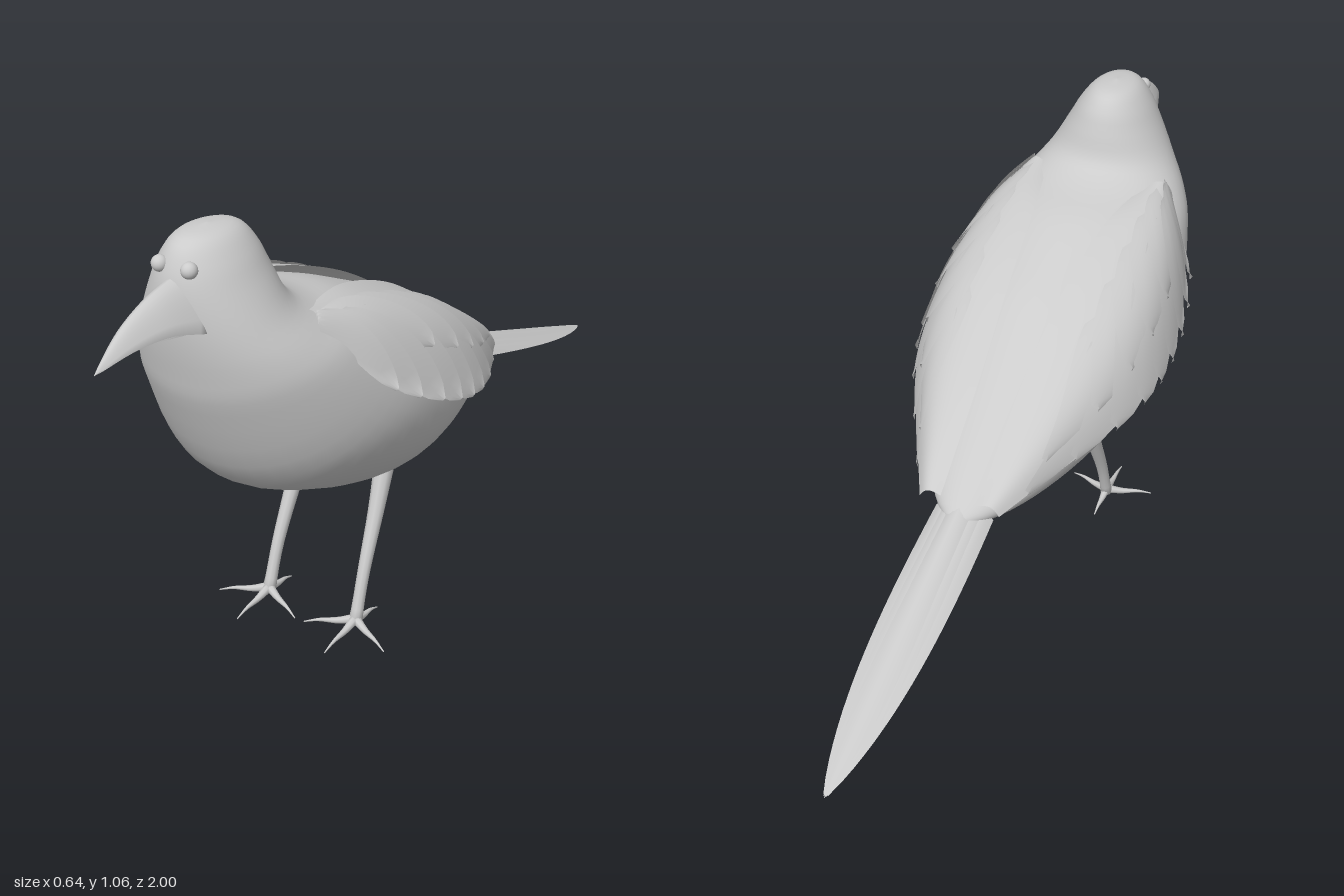
import * as THREE from 'three';
import { mergeVertices } from 'three/addons/utils/BufferGeometryUtils.js';

const V3 = (x, y, z) => new THREE.Vector3(x, y, z);
const curve = (pts) => new THREE.CatmullRomCurve3(pts.map((p) => V3(...p)), false, 'catmullrom', 0.5);
const solid = new THREE.MeshStandardMaterial({ color: 0xcccccc });
const thin = new THREE.MeshStandardMaterial({ color: 0xcccccc, side: THREE.DoubleSide });

// Smooth surface from a rule f(u, v) -> Vector3, welded where points meet
function sheet(f, nu, nv) {
  const pos = [], idx = [];
  for (let i = 0; i <= nu; i++) {
    for (let j = 0; j <= nv; j++) pos.push(...f(i / nu, j / nv).toArray());
  }
  for (let i = 0; i < nu; i++) {
    for (let j = 0; j < nv; j++) {
      const a = i * (nv + 1) + j, b = a + nv + 1;
      idx.push(a, b, a + 1, b, b + 1, a + 1);
    }
  }
  const g = new THREE.BufferGeometry();
  g.setAttribute('position', new THREE.Float32BufferAttribute(pos, 3));
  g.setIndex(idx);
  const welded = mergeVertices(g, 1e-5);
  welded.computeVertexNormals();
  return welded;
}

function add(parent, name, geometry, material = solid) {
  const mesh = new THREE.Mesh(geometry, material);
  mesh.name = name;
  parent.add(mesh);
  return mesh;
}

// Round limb along a curve with a radius rule, closed at both ends
function limb(pts, radius, n = 12, sides = 10) {
  const c = curve(pts);
  const frames = c.computeFrenetFrames(n);
  return sheet((u, v) => {
    const i = Math.round(u * (n + 2)) - 1;
    const k = Math.min(Math.max(i, 0), n);
    const r = i < 0 || i > n ? 0 : radius(k / n);
    const a = -v * Math.PI * 2;
    return c.getPoint(k / n)
      .addScaledVector(frames.normals[k], Math.cos(a) * r)
      .addScaledVector(frames.binormals[k], Math.sin(a) * r);
  }, n + 2, sides);
}

// Head and body: tilted oval rings; each row is back z, y, breast z, y, half width
function bodyGeometry() {
  const rings = [
    [0.655, 1.065, 0.66, 1.065, 0],
    [0.585, 1.055, 0.735, 1.053, 0.05],
    [0.55, 1.02, 0.768, 1.01, 0.085],
    [0.53, 0.97, 0.782, 0.95, 0.115],
    [0.505, 0.905, 0.78, 0.87, 0.155],
    [0.44, 0.87, 0.765, 0.78, 0.2],
    [0.33, 0.84, 0.74, 0.69, 0.235],
    [0.2, 0.785, 0.65, 0.505, 0.265],
    [0.1, 0.735, 0.5, 0.41, 0.268],
    [0, 0.665, 0.3, 0.34, 0.245],
    [-0.1, 0.6, 0.1, 0.322, 0.2],
    [-0.2, 0.535, -0.1, 0.345, 0.145],
    [-0.3, 0.465, -0.25, 0.385, 0.08],
    [-0.36, 0.43, -0.36, 0.41, 0],
  ];
  const back = curve(rings.map((r) => [r[4], r[1], r[0]]));
  const breast = curve(rings.map((r) => [r[4], r[3], r[2]]));
  return sheet((u, v) => {
    const d = back.getPoint(u), b = breast.getPoint(u), a = v * Math.PI * 2;
    const t = 0.5 + 0.5 * Math.cos(a);
    return V3(Math.max(d.x, 0) * Math.sin(a), d.y + (b.y - d.y) * t, d.z + (b.z - d.z) * t);
  }, 52, 40);
}

// Bill halves: top line, lower edge and half width run to a drooping tip
function billGeometry(ridge, edge, width) {
  const top = curve(ridge), low = curve(edge);
  return sheet((u, v) => {
    const p = top.getPoint(u), q = low.getPoint(u);
    const w = width * Math.pow(1 - u, 0.85), s = v * 2 - 1;
    // arched roof on the first half of the loop, nearly flat closing floor on the other
    if (v <= 0.5) {
      const k = 1 - v * 4;
      return V3(w * k, p.y + (q.y - p.y) * Math.pow(Math.abs(k), 1.7), p.z);
    }
    const k = s * 2 - 1;
    return V3(w * k, q.y + 0.012 * (1 - k * k) * (1 - u), p.z);
  }, 16, 24);
}

// Wing surface between the edge on the back and the lower edge, bulging outwards
const wingInner = curve([[0.13, 0.865, 0.53], [0.09, 0.845, 0.34], [0.065, 0.765, 0.12],
  [0.05, 0.635, -0.09], [0.045, 0.475, -0.32]]);
const wingOuter = curve([[0.19, 0.835, 0.56], [0.27, 0.7, 0.44], [0.31, 0.59, 0.24],
  [0.275, 0.525, 0.03], [0.1, 0.455, -0.32]]);
function wingPoint(u, v, side, lift = 0) {
  const uu = Math.min(Math.max(u, 0), 1);
  const a = wingInner.getPoint(uu), b = wingOuter.getPoint(uu);
  const n = V3(a.y - b.y, b.x - a.x, 0).normalize();
  const bulge = 0.07 * Math.sin(Math.PI * Math.min(v, 1)) * Math.pow(Math.sin(Math.PI * (0.08 + 0.87 * uu)), 0.8);
  const p = a.lerp(b, v).addScaledVector(n, bulge + lift);
  p.x *= side;
  return p;
}

// Feather lying on the wing, swept from (u0, v0) to a rounded tip at (u1, v1)
function wingFeather(u0, v0, u1, v1, width, lift, side) {
  return sheet((t, s) => {
    const k = s * 2 - 1;
    const w = width * Math.pow(Math.sin(Math.PI * (0.12 + 0.88 * t)), 0.55);
    const v = v0 + (v1 - v0) * Math.pow(t, 1.15);
    return wingPoint(u0 + (u1 - u0) * t - k * w * 0.6, v + k * w, side, lift * (0.3 + 0.7 * t) - 0.006 * k);
  }, 14, 4);
}

function wing(side) {
  const g = new THREE.Group();
  g.name = side > 0 ? 'leftWing' : 'rightWing';
  add(g, 'wingShell', sheet((u, v) => wingPoint(u, v * 0.94, side), 30, 14), thin);
  for (let i = 0; i < 9; i++) {
    const tip = 0.27 + i * 0.085;
    add(g, 'flightFeather', wingFeather(tip - 0.36, 0.5 - i * 0.015, tip, 1.05 - i * 0.012, 0.11, 0.008, side), thin);
  }
  for (let i = 0; i < 5; i++) {
    const tip = 0.42 + i * 0.12;
    add(g, 'covertFeather', wingFeather(tip - 0.36, 0.28, tip, 0.72, 0.11, 0.013, side), thin);
  }
  return g;
}

// Long tail feather with a ridge, drooping at both edges
function tailFeather(offset, half, lift, length) {
  return sheet((t, s) => {
    const k = s * 2 - 1;
    const w = half * (0.8 + 0.5 * t) * Math.pow(Math.max(1 - t * t * t, 0), 0.9);
    const x = offset * (1 - 0.85 * t * t) + k * w;
    return V3(x, 0.455 - 0.235 * t * length + lift * (1 - t) - 0.02 * k * k * (1 - t) - Math.abs(x) * 0.12,
      -0.29 - 0.71 * t * length);
  }, 20, 6);
}

function leg(side) {
  const g = new THREE.Group();
  g.name = side > 0 ? 'leftLeg' : 'rightLeg';
  const x = side * 0.123, z = 0.35;
  add(g, 'shank', limb([[side * 0.11, 0.375, 0.2], [side * 0.116, 0.26, 0.25], [side * 0.121, 0.13, 0.31], [x, 0.015, z]],
    (t) => 0.012 + 0.013 * Math.pow(1 - t, 1.6) + 0.004 * Math.pow(t, 6)));
  // three toes forward, one back
  for (const [dx, dz] of [[0, 0.125], [0.11, 0.05], [-0.11, 0.05], [0, -0.09]]) {
    add(g, 'toe', limb([[x, 0.022, z], [x + dx * 0.35, 0.013, z + dz * 0.35], [x + dx * 0.7, 0.011, z + dz * 0.7],
      [x + dx, 0.002, z + dz]], (t) => 0.0015 + 0.0105 * Math.pow(1 - t, 1.3), 8, 8));
  }
  return g;
}

export function createModel() {
  const bird = new THREE.Group();
  bird.name = 'bird';
  add(bird, 'body', bodyGeometry());

  add(bird, 'upperBill', billGeometry(
    [[0, 0.99, 0.765], [0, 0.972, 0.84], [0, 0.938, 0.92], [0, 0.878, 1]],
    [[0, 0.888, 0.765], [0, 0.905, 0.84], [0, 0.9, 0.92], [0, 0.876, 1]], 0.074), thin);
  add(bird, 'lowerBill', billGeometry(
    [[0, 0.92, 0.76], [0, 0.915, 0.83], [0, 0.91, 0.88], [0, 0.9, 0.93]],
    [[0, 0.885, 0.76], [0, 0.892, 0.83], [0, 0.897, 0.88], [0, 0.898, 0.93]], 0.05), thin);

  for (const side of [1, -1]) {
    const eye = add(bird, side > 0 ? 'leftEye' : 'rightEye', new THREE.SphereGeometry(0.017, 20, 14));
    eye.position.set(side * 0.036, 1.008, 0.762);
    bird.add(wing(side), leg(side));
    add(bird, 'outerTailFeather', tailFeather(side * 0.035, 0.045, -0.01, 0.99), thin);
    add(bird, 'innerTailFeather', tailFeather(side * 0.02, 0.045, -0.002, 0.995), thin);
  }
  add(bird, 'centreTailFeather', tailFeather(0, 0.045, 0.008, 1), thin);
  return bird;
}
